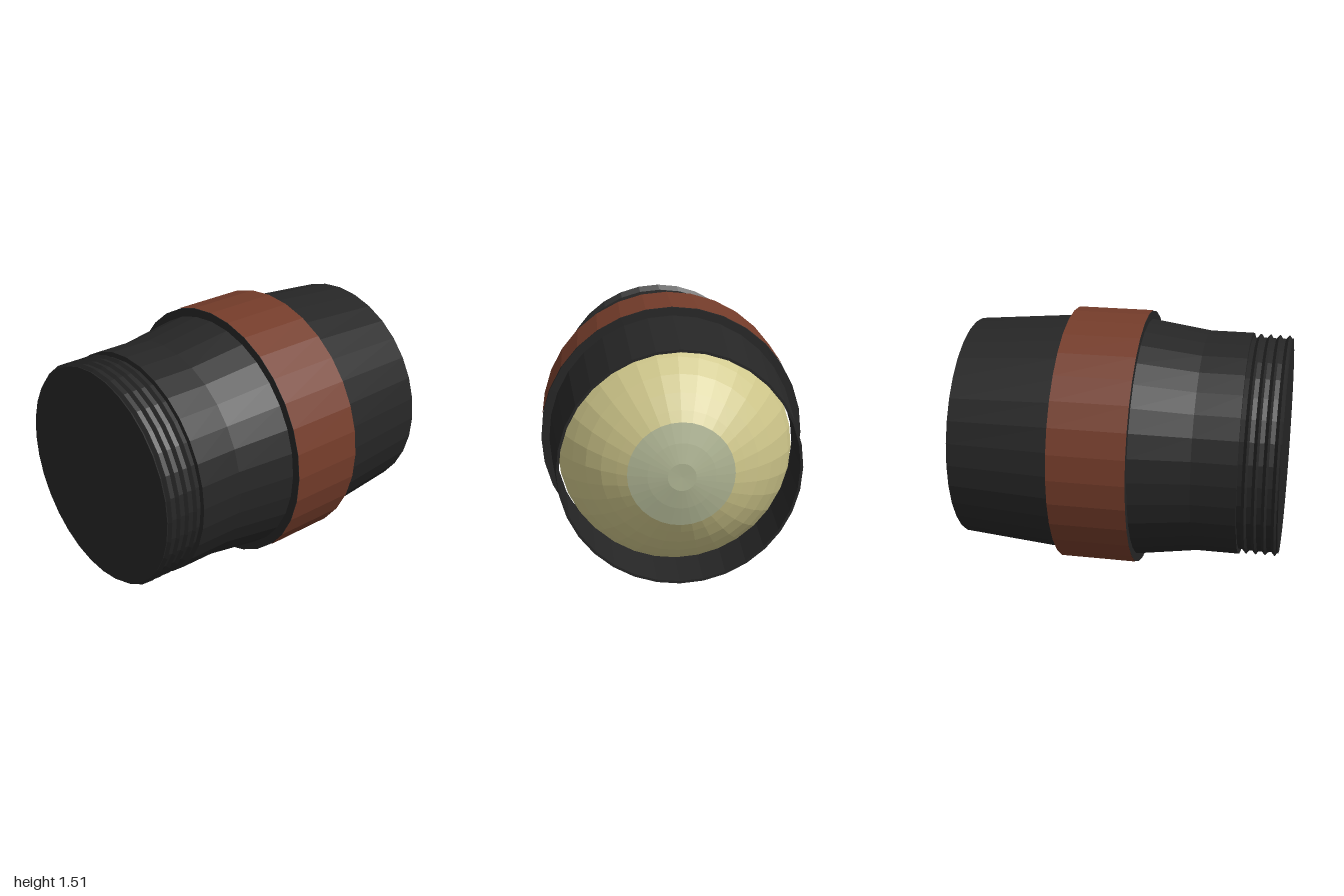
import * as THREE from 'three';

const SIDES = 32;

// Turned part: profile of [radius, position along z], listed from back to front
function turned(name, color, profile) {
  const points = profile.map(([r, z]) => new THREE.Vector2(r, z));
  const geometry = new THREE.LatheGeometry(points, SIDES);
  geometry.rotateX(Math.PI / 2);
  const material = new THREE.MeshStandardMaterial({ color, flatShading: true });
  const mesh = new THREE.Mesh(geometry, material);
  mesh.name = name;
  return mesh;
}

export function createModel() {
  const barrel = new THREE.Group();
  barrel.name = 'barrel';

  // Threaded neck: sharp ridges between shallow valleys
  const thread = [];
  for (let i = 0; i < 4; i++) {
    const z = 0.785 + i * 0.055;
    thread.push([0.627, z - 0.018], [0.648, z], [0.63, z + 0.012]);
  }

  // Housing: recess wall, rear rim, tapered rear, collar, tapered front, neck, end plate
  barrel.add(turned('housing', 0x262626, [
    [0.66, -0.5], [0.64, -0.89], [0.654, -0.89],
    [0.704, -0.3], [0.704, -0.291], [0.75, -0.291],
    [0.75, 0.148], [0.702, 0.148],
    [0.653, 0.49], [0.653, 0.742], [0.624, 0.742],
    ...thread,
    [0.632, 0.97], [0, 0.97],
  ]));

  // Coloured band around the collar
  barrel.add(turned('band', 0x743c2a, [[0.7535, -0.292], [0.7535, 0.149]]));

  // Domed lens set in the rear recess
  barrel.add(turned('dome', 0xcec68a, [
    [0.285, -0.954], [0.34, -0.92], [0.42, -0.865], [0.5, -0.79],
    [0.57, -0.7], [0.62, -0.62], [0.65, -0.53],
  ]));
  barrel.add(turned('domeCentre', 0xb2b896, [
    [0, -0.997], [0.075, -0.999], [0.18, -0.98], [0.285, -0.954],
  ]));

  // The barrel lies level, turned slightly about the vertical
  barrel.rotation.y = -0.044;
  barrel.position.set(-0.004, 0.7535, 0);

  const model = new THREE.Group();
  model.name = 'model';
  model.add(barrel);
  return model;
}
